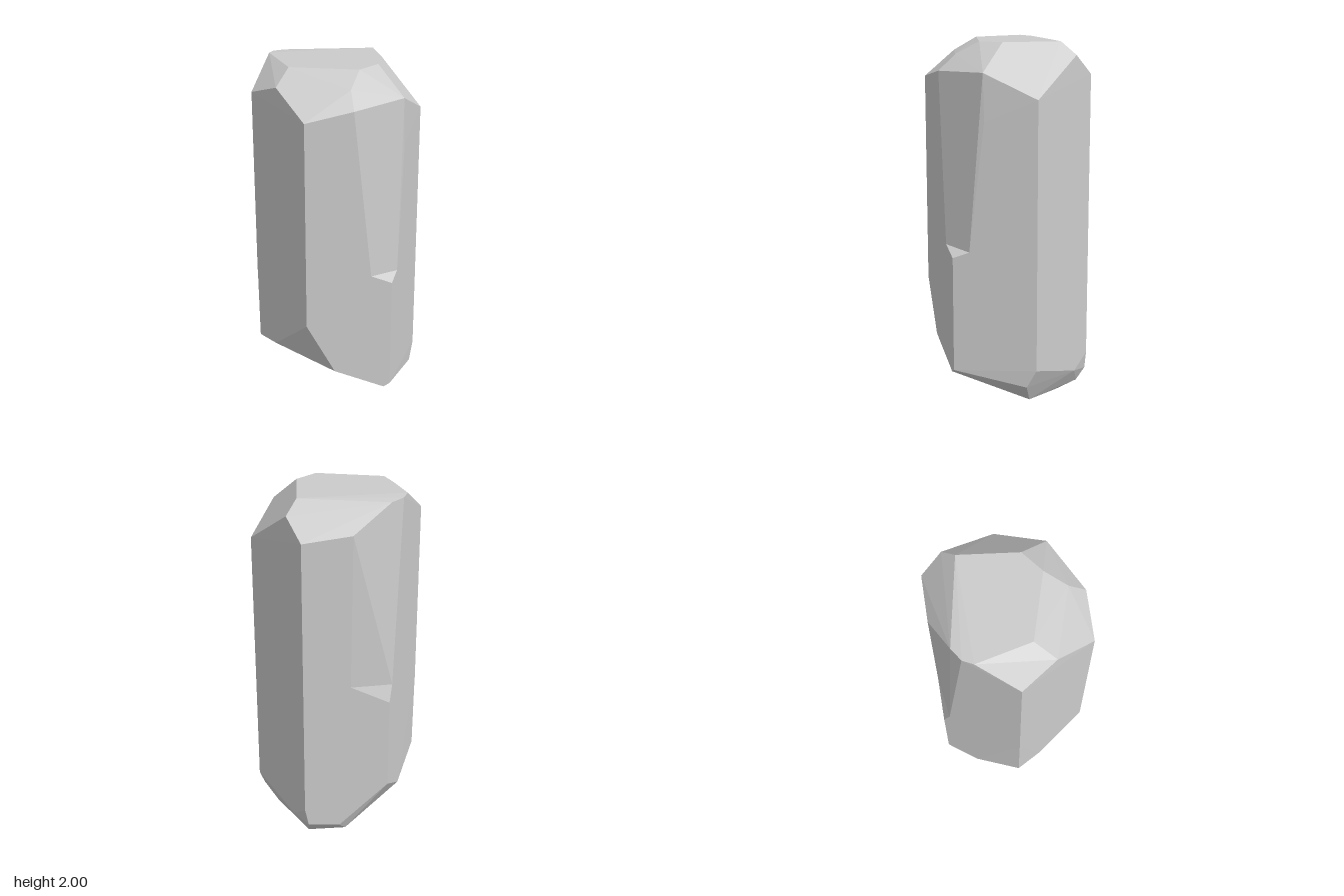
import * as THREE from 'three';
import { ConvexGeometry } from 'three/addons/geometries/ConvexGeometry.js';

const material = new THREE.MeshStandardMaterial({ color: 0xcccccc, flatShading: true });

// Corner columns of the six-sided shaft, as [x, z]
const R = [0.46, 0], FR = [0.235, 0.4], FL = [-0.235, 0.4];
const L = [-0.46, 0], BL = [-0.235, -0.4], BR = [0.235, -0.4];
const at = ([x, z], y) => [x, y, z];

// Feet of the two long chips that remove the upper front-right and back-left edges
const frontChip = [[0.12, 0.91, 0.4], [0.28, 0.895, 0.32]];
const backChip = [[-0.02, 0.99, -0.4], [-0.254, 0.974, -0.366]];
const JOIN = 0.8;

function hull(name, points) {
  const vectors = points.map((p) => new THREE.Vector3(...p));
  const mesh = new THREE.Mesh(new ConvexGeometry(vectors), material);
  mesh.name = name;
  return mesh;
}

export function createModel() {
  const crystal = new THREE.Group();
  crystal.name = 'crystal';

  // Upper shaft: flat tip, bevelled shoulders and chipped edges
  const tip = [
    [-0.34, 2, -0.21], [-0.27, 2, 0.085], [0.085, 2, 0.19], [0.2, 2, 0.1],
    [0.235, 2, -0.22], [-0.24, 1.987, -0.31], [-0.31, 1.995, -0.266],
  ];
  const shoulders = [
    at(R, 1.72), at(FL, 1.795), at(L, 1.85), at(BR, 1.82),
    [0.297, 1.93, -0.285], [-0.35, 1.925, 0.19],
    [0.02, 1.93, 0.305], [0.02, 1.845, 0.4], [0.312, 1.855, 0.25],
    [0.32, 1.6, 0.247], [-0.03, 1.85, -0.4],
  ];
  const chips = [...frontChip, ...backChip];
  crystal.add(hull('upperShaft', [
    ...tip, ...shoulders, ...chips,
    ...chips.map(([x, , z]) => [x, JOIN, z]),
    ...[R, FL, L, BR].map((c) => at(c, JOIN)),
  ]));

  // Lower shaft: full corners up to the chip ledges, slanted broken base
  const ledges = [...chips, at(FR, 0.86), at(BL, 0.88)];
  const base = [
    at(FL, 0.63), [-0.38, 0.39, 0.14], [-0.08, 0.33, 0.4], [0.2, 0.2, 0.4], at(FR, 0.22),
    [-0.455, 0.375, 0], [-0.325, 0.255, -0.24], at(BL, 0.355),
    [0, 0.05, -0.36], [0.04, 0.1, -0.4], at(BR, 0.22), [0.215, 0.12, -0.4],
    [0.21, 0.05, -0.35], [0.29, 0.14, -0.302], [0.19, 0, -0.23],
    [0.355, 0.035, 0], [0.43, 0.14, 0.045], at(R, 0.24),
  ];
  crystal.add(hull('lowerShaft', [
    ...ledges, ...base, ...[R, FL, L, BR].map((c) => at(c, 0.88)),
  ]));

  return crystal;
}
